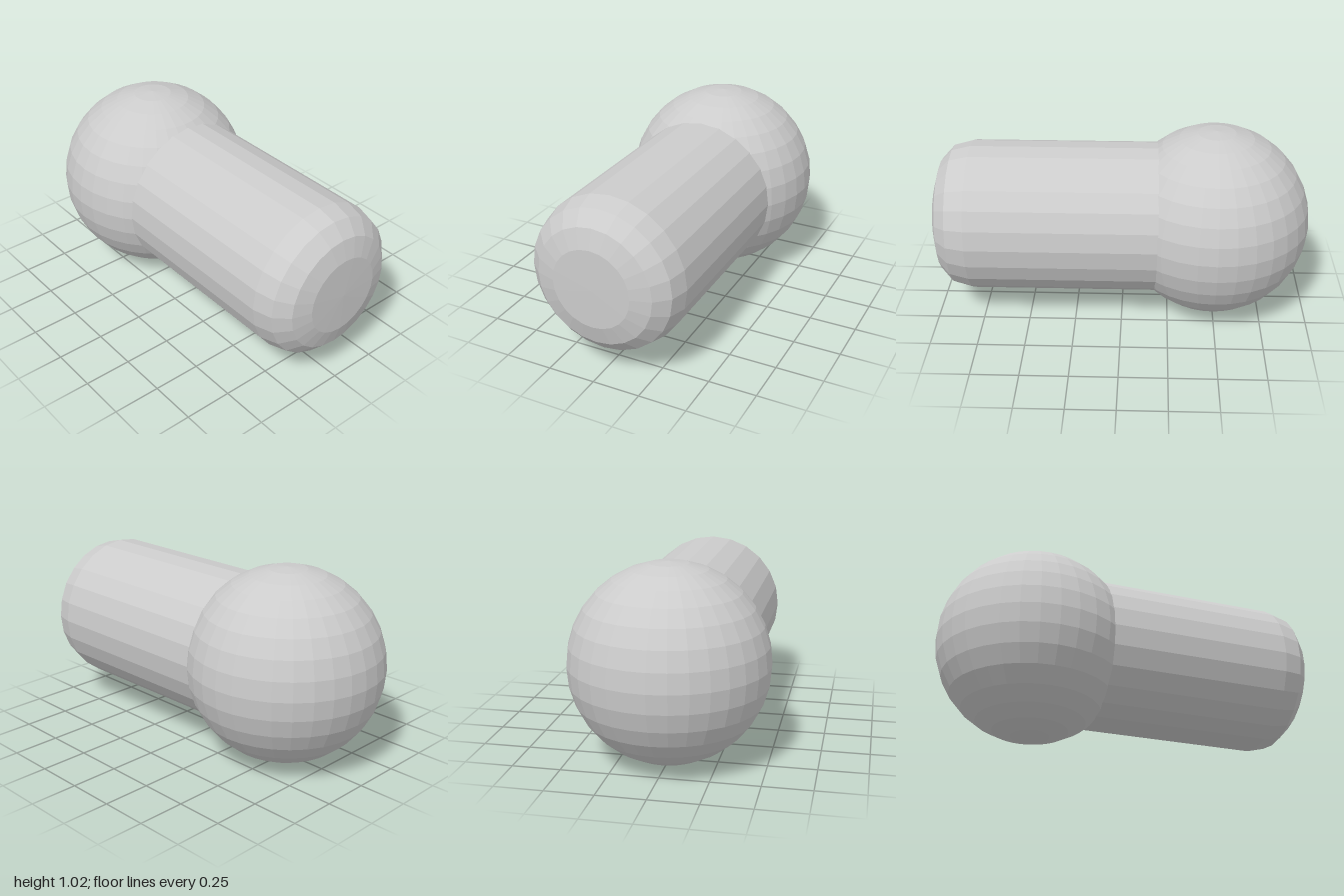
import * as THREE from 'three';

export function createModel() {
  const group = new THREE.Group();
  const material = new THREE.MeshStandardMaterial({ color: 0xcccccc, flatShading: true });

  // Ball end
  const ball = new THREE.Mesh(new THREE.SphereGeometry(0.51, 32, 16), material);
  ball.name = 'ball';
  ball.position.set(-0.49, 0.51, 0);
  group.add(ball);

  // Shank with rounded free end, turned about the x axis: [radius, x]
  const profile = [
    [0, -0.45], [0.402, -0.45], [0.402, 0.8], [0.376, 0.9],
    [0.306, 0.965], [0.206, 0.995], [0, 1],
  ].map(([r, x]) => new THREE.Vector2(r, x));
  const shank = new THREE.Mesh(new THREE.LatheGeometry(profile, 24), material);
  shank.name = 'shank';
  shank.rotation.z = -Math.PI / 2;
  shank.position.set(0, 0.517, -0.007);
  group.add(shank);

  return group;
}
